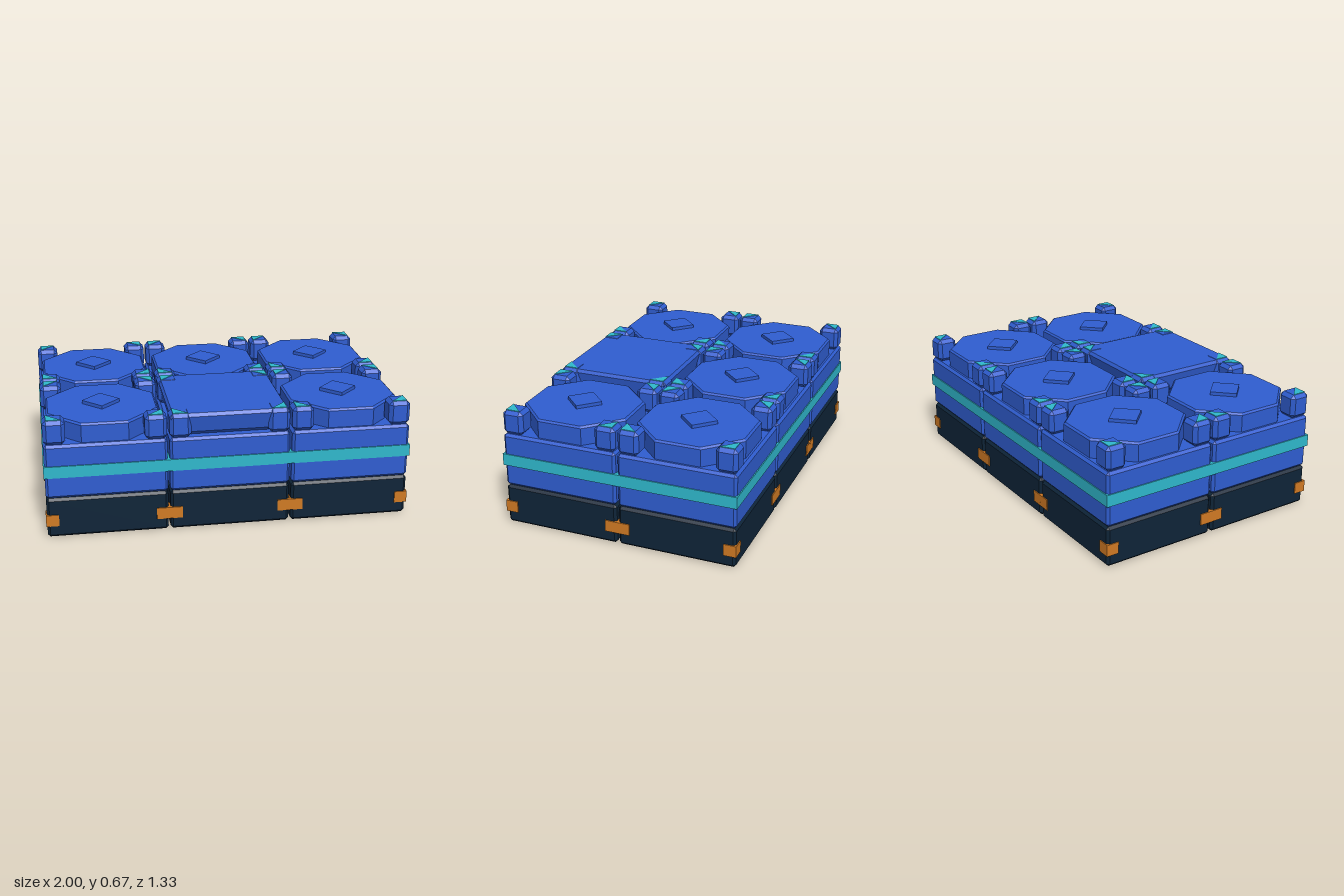
import * as THREE from 'three';
import { ConvexGeometry } from 'three/addons/geometries/ConvexGeometry.js';

const mat = (name, color) => {
  const m = new THREE.MeshStandardMaterial({ color });
  m.name = name;
  return m;
};

// Box with every edge cut at 45 degrees, standing on y = 0
function chamferBox(w, h, d, c) {
  const pts = [];
  for (const sx of [-1, 1]) for (const sy of [-1, 1]) for (const sz of [-1, 1]) {
    for (const [a, b, e] of [[0, c, c], [c, 0, c], [c, c, 0]]) {
      pts.push(new THREE.Vector3(sx * (w / 2 - a), h / 2 + sy * (h / 2 - b), sz * (d / 2 - e)));
    }
  }
  return new ConvexGeometry(pts);
}

// Convex square stack from [half width, y] levels
function squareStack(levels) {
  const pts = [];
  for (const [r, y] of levels) for (const sx of [-1, 1]) for (const sz of [-1, 1]) {
    pts.push(new THREE.Vector3(sx * r, y, sz * r));
  }
  return new ConvexGeometry(pts);
}

// Regular octagonal prism with a narrow bevel round the top
function octagonBlock(apothem, h, bevel) {
  const pts = [];
  for (const [r, y] of [[apothem, 0], [apothem, h - bevel], [apothem - bevel, h]]) {
    for (let i = 0; i < 8; i++) {
      const a = Math.PI / 8 + i * Math.PI / 4, R = r / Math.cos(Math.PI / 8);
      pts.push(new THREE.Vector3(R * Math.cos(a), y, R * Math.sin(a)));
    }
  }
  return new ConvexGeometry(pts);
}

// Thin triangular plate with its right angle at the outer (+x, +z) corner
function cornerPlate(leg, t) {
  const s = new THREE.Shape([
    new THREE.Vector2(0, 0), new THREE.Vector2(-leg, 0), new THREE.Vector2(0, -leg),
  ]);
  return new THREE.ExtrudeGeometry(s, { depth: t, bevelEnabled: false })
    .rotateX(-Math.PI / 2); // shape y becomes -z
}

export function createModel() {
  const model = new THREE.Group();
  model.name = 'modularBlock';
  const blue = mat('blue', 0x2f5dd0);
  const navy = mat('dark navy', 0x0e2438);
  const teal = mat('teal', 0x2fb8cc);
  const orange = mat('orange', 0xd07a24);

  const add = (parent, name, geo, material, x = 0, y = 0, z = 0, ry = 0) => {
    const m = new THREE.Mesh(geo, material);
    m.name = name;
    m.position.set(x, y, z);
    m.rotation.y = ry;
    parent.add(m);
    return m;
  };

  // Shared part shapes
  const base = chamferBox(0.655, 0.225, 0.655, 0.014);
  const body = chamferBox(0.655, 0.303, 0.655, 0.014);
  const post = chamferBox(0.118, 0.135, 0.118, 0.02);
  const clamp = new THREE.BoxGeometry(0.07, 0.065, 0.07);
  const plate = cornerPlate(0.08, 0.005);
  const octagon = octagonBlock(0.302, 0.108, 0.01);
  const diamond = new THREE.BoxGeometry(0.146, 0.02, 0.146);
  const panel = squareStack([[0.27, 0], [0.3, 0.025], [0.32, 0.115], [0.308, 0.133]]);

  for (let i = -1; i <= 1; i++) for (const k of [-1, 1]) {
    const cell = new THREE.Group();
    cell.name = 'cell';
    cell.position.set(i * 0.6667, 0, k * 0.3333);
    model.add(cell);

    add(cell, 'base', base, navy);
    add(cell, 'body', body, blue, 0, 0.227);

    // Corner clamps, posts and triangular markers
    for (let q = 0; q < 4; q++) {
      const corner = new THREE.Group();
      corner.name = 'corner';
      corner.rotation.y = q * Math.PI / 2;
      cell.add(corner);
      add(corner, 'clamp', clamp, orange, 0.2983, 0.1, 0.2983);
      add(corner, 'post', post, blue, 0.268, 0.53, 0.268);
      // The plate's +z edge faces outward after a quarter turn
      add(corner, 'cornerMarker', plate, teal, 0.308, 0.663, -0.308, 0);
    }

    // Front middle cell has a flat cover, the rest an octagonal lid
    if (i === 0 && k === 1) {
      add(cell, 'coverPanel', panel, blue, 0, 0.53);
    } else {
      add(cell, 'octagonLid', octagon, blue, 0, 0.528);
      add(cell, 'diamondStud', diamond, blue, 0, 0.645, 0, Math.PI / 4);
    }
  }

  // Continuous band round the whole block
  add(model, 'band', new THREE.BoxGeometry(2, 0.066, 1.3333), teal, 0, 0.381);

  return model;
}
